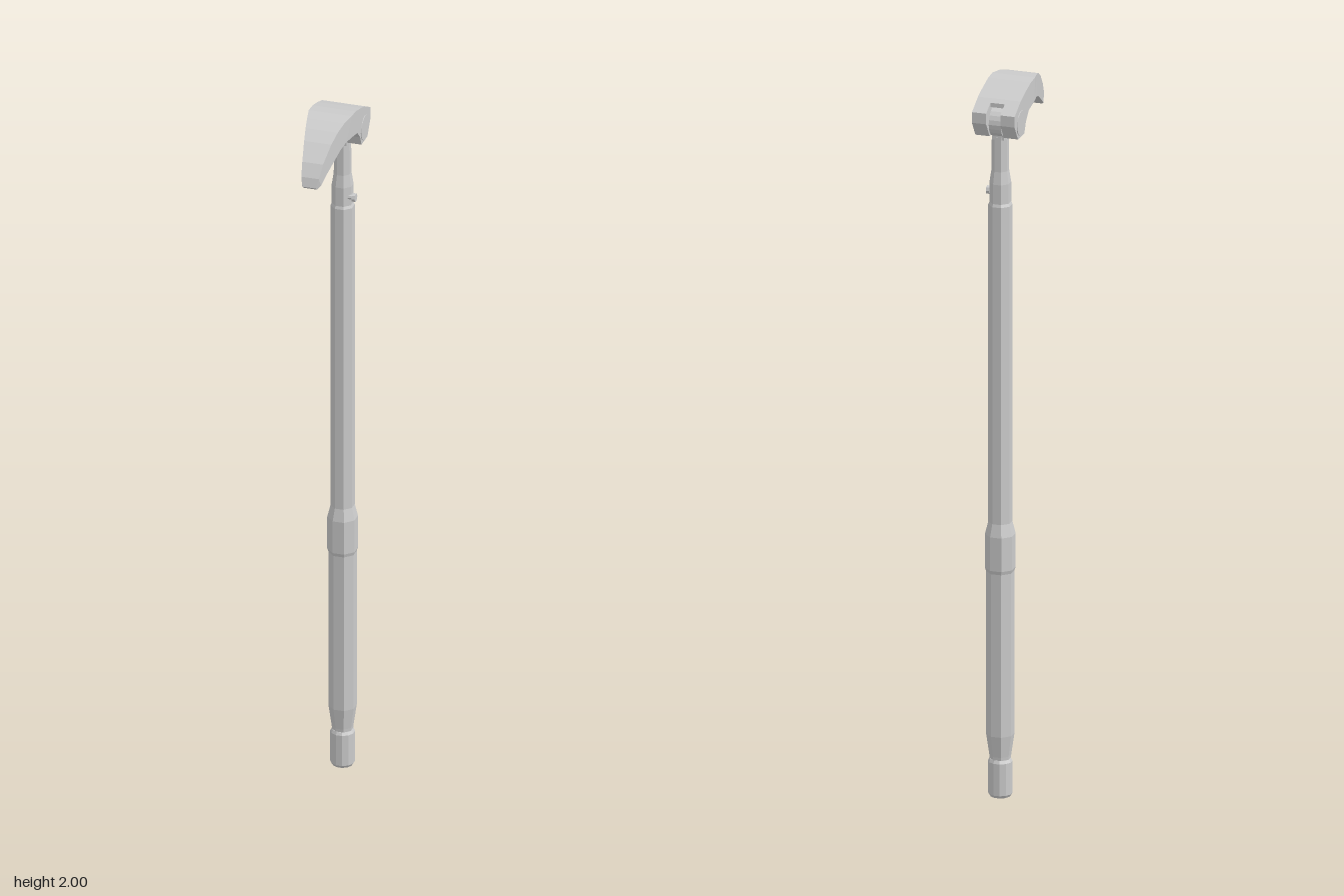
import * as THREE from 'three';

const AXIS_Z = -0.12;              // shaft axis
const PIVOT = [-0.125, 1.91];      // hinge centre (z, y)
const mat = new THREE.MeshStandardMaterial({ color: 0xcccccc, flatShading: true });

function add(parent, name, geometry) {
  const mesh = new THREE.Mesh(geometry, mat);
  mesh.name = name;
  parent.add(mesh);
  return mesh;
}

// Faceted turned part around the shaft axis; radii are measured to the flats
function turned(parent, name, sides, profile) {
  const k = 1 / Math.cos(Math.PI / sides);
  const pts = profile.map(([r, y]) => new THREE.Vector2(r * k, y));
  const mesh = add(parent, name, new THREE.LatheGeometry(pts, sides, Math.PI / sides));
  mesh.position.z = AXIS_Z;
  return mesh;
}

// Side profile of (z, y) points extruded across x
function slab(parent, name, points, x0, x1) {
  const shape = new THREE.Shape(points.map(([z, y]) => new THREE.Vector2(z, y)));
  const geo = new THREE.ExtrudeGeometry(shape, { depth: x1 - x0, bevelEnabled: false });
  geo.rotateY(-Math.PI / 2).translate(x1, 0, 0);
  return add(parent, name, geo);
}

// Cylinder lying along x
function pin(parent, name, r, x0, x1, z, y, sides) {
  const geo = new THREE.CylinderGeometry(r, r, x1 - x0, sides).rotateZ(Math.PI / 2);
  const mesh = add(parent, name, geo);
  mesh.position.set((x0 + x1) / 2, y, z);
  return mesh;
}

// Curved claw lofted through four-cornered sections
function clawGeometry() {
  // outer z, outer y, inner z, inner y
  const sections = [
    [-0.09, 1.985, -0.085, 1.9], [-0.045, 1.997, -0.06, 1.925],
    [-0.01, 2.0, -0.015, 1.935], [0.03, 1.996, 0.02, 1.935],
    [0.065, 1.985, 0.05, 1.926], [0.1, 1.965, 0.085, 1.908],
    [0.145, 1.926, 0.125, 1.887], [0.168, 1.893, 0.155, 1.868],
    [0.176, 1.868, 0.168, 1.861],
  ];
  const width = (z) => 0.06 - Math.max(0, z + 0.01) * 0.2;
  const pos = [], index = [];
  sections.forEach(([zo, yo, zi, yi], i) => {
    const tip = i === sections.length - 1;
    const wo = tip ? 0.019 : width(zo), wi = tip ? 0.019 : width(zi);
    pos.push(-wo, yo, zo, wo, yo, zo, wi, yi, zi, -wi, yi, zi);
  });
  const quad = (a, b, c, d) => index.push(a, b, c, a, c, d);
  for (let i = 0; i < sections.length - 1; i++) {
    for (let j = 0; j < 4; j++) {
      const k = (j + 1) % 4, a = i * 4, b = a + 4;
      quad(a + j, b + j, b + k, a + k);
    }
  }
  const e = (sections.length - 1) * 4;
  quad(0, 1, 2, 3);
  quad(e + 3, e + 2, e + 1, e);
  const geo = new THREE.BufferGeometry();
  geo.setAttribute('position', new THREE.Float32BufferAttribute(pos, 3));
  geo.setIndex(index);
  const flat = geo.toNonIndexed();
  flat.computeVertexNormals();
  return flat;
}

export function createModel() {
  const model = new THREE.Group();
  model.name = 'pryBar';

  // Butt cap, handle and shaft
  turned(model, 'endCap', 12, [
    [0, 0], [0.027, 0], [0.032, 0.008], [0.032, 0.098], [0.028, 0.106], [0, 0.106],
  ]);
  turned(model, 'handle', 8, [
    [0, 0.1], [0.026, 0.1], [0.027, 0.115], [0.035, 0.175], [0.035, 0.635],
    [0.038, 0.645], [0.038, 0.74], [0.03, 0.775], [0, 0.775],
  ]);
  turned(model, 'shaft', 8, [
    [0, 0.76], [0.03, 0.76], [0.03, 1.672], [0.027, 1.68], [0, 1.68],
  ]);

  // Telescoping neck and its lock button
  turned(model, 'neck', 8, [
    [0, 1.67], [0.027, 1.67], [0.027, 1.735], [0.022, 1.77], [0.021, 1.868], [0, 1.868],
  ]);
  pin(model, 'buttonStem', 0.007, 0.015, 0.034, -0.108, 1.705, 8);
  pin(model, 'lockButton', 0.012, 0.032, 0.041, -0.108, 1.705, 8);

  // Hinged head
  const head = new THREE.Group();
  head.name = 'head';
  model.add(head);
  pin(head, 'knuckle', 0.041, -0.017, 0.017, ...PIVOT, 20);
  slab(head, 'tongue', [[-0.1, 1.86], [-0.1, 1.91], [-0.14, 1.91], [-0.14, 1.86]], -0.017, 0.017);

  // Two cheeks either side of the knuckle, with pivot pin faces
  const cheek = [
    [-0.09, 1.985], [-0.128, 1.972], [-0.178, 1.945], [-0.178, 1.915],
    [-0.15, 1.872], [-0.097, 1.872], [-0.085, 1.9],
  ];
  for (const s of [-1, 1]) {
    const [a, b] = s > 0 ? [0.02, 0.06] : [-0.06, -0.02];
    slab(head, 'cheek', cheek, a, b);
    const [c, d] = s > 0 ? [0.05, 0.062] : [-0.062, -0.05];
    pin(head, 'pivotPin', 0.035, c, d, ...PIVOT, 16);
  }

  // Roof bridging the slot over the knuckle
  slab(head, 'slotRoof', [
    [-0.09, 1.985], [-0.128, 1.972], [-0.142, 1.964], [-0.142, 1.952],
    [-0.125, 1.953], [-0.106, 1.949], [-0.091, 1.936], [-0.086, 1.917],
  ], -0.02, 0.02);

  add(head, 'claw', clawGeometry());
  return model;
}
